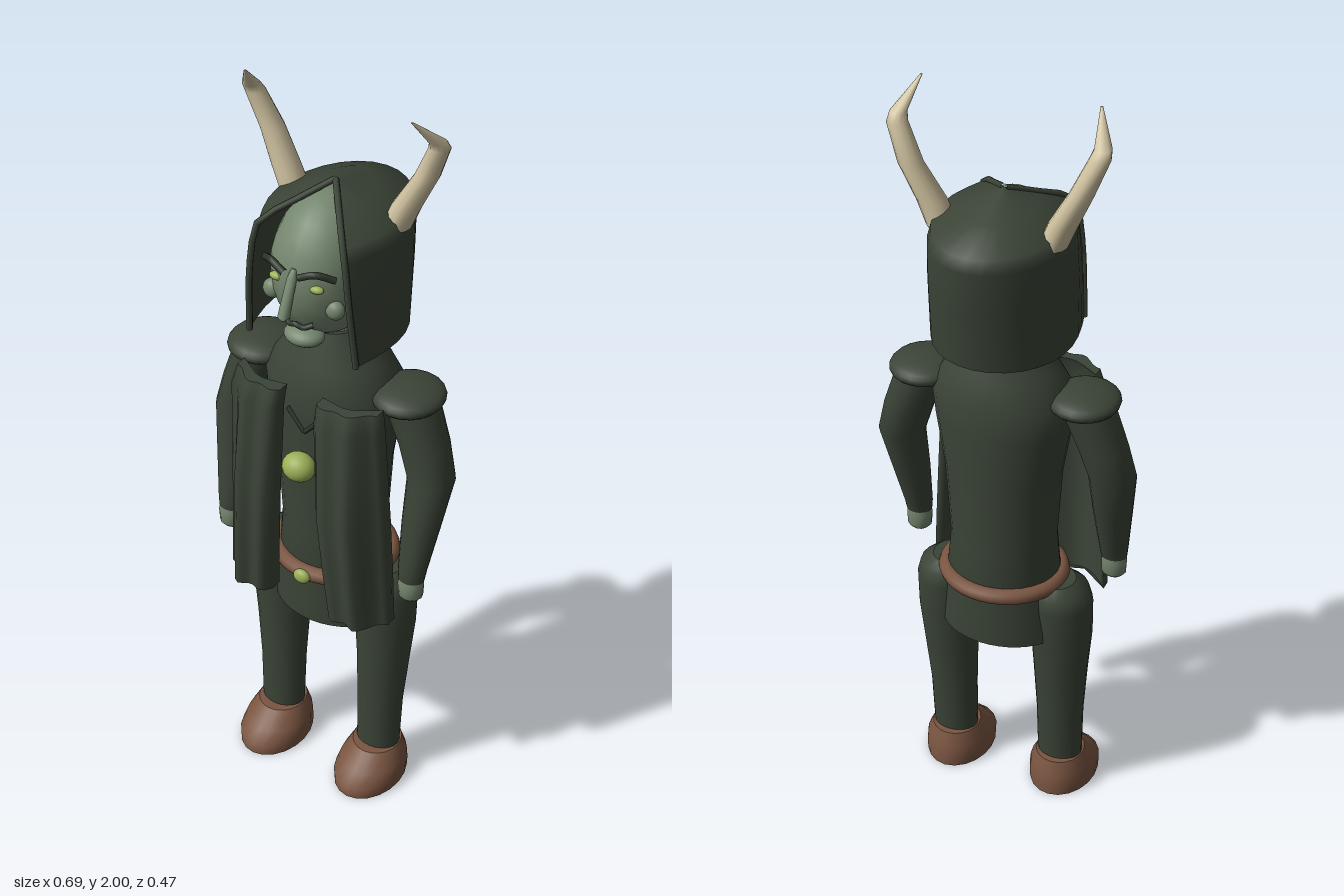
import * as THREE from 'three';

const mat = (name, color, side = THREE.FrontSide) => {
  const m = new THREE.MeshStandardMaterial({ color, side });
  m.name = name;
  return m;
};
const lerp = THREE.MathUtils.lerp;

// Elliptical cross-section at one height
function ring([y, cx, cz, rx, rz], n = 16, from = 0, to = Math.PI * 2) {
  const full = to - from > 6.28;
  return Array.from({ length: n }, (_, i) => {
    const a = from + ((to - from) * i) / (full ? n : n - 1);
    return [cx + Math.cos(a) * rx, y, cz + Math.sin(a) * rz];
  });
}

// Skin stacked cross-sections, listed from bottom to top; s = -1 mirrors in x
function loft(rows, { closed = true, caps = true, s = 1 } = {}) {
  const n = rows[0].length, pos = [], idx = [];
  rows = rows.map(r => {
    const m = r.map(([x, y, z]) => [x * s, y, z]);
    return s < 0 ? m.reverse() : m;
  });
  rows.forEach(r => r.forEach(p => pos.push(...p)));
  for (let j = 0; j < rows.length - 1; j++) {
    for (let i = 0; i < (closed ? n : n - 1); i++) {
      const a = j * n + i, b = j * n + ((i + 1) % n);
      idx.push(a, a + n, b, b, a + n, b + n);
    }
  }
  if (closed && caps) {
    [rows[0], rows[rows.length - 1]].forEach((r, k) => {
      const base = pos.length / 3;
      r.forEach(p => pos.push(...p));
      pos.push(...[0, 1, 2].map(c => r.reduce((t, p) => t + p[c], 0) / n));
      for (let i = 0; i < n; i++) {
        const a = base + i, b = base + ((i + 1) % n);
        k ? idx.push(a, base + n, b) : idx.push(a, b, base + n);
      }
    });
  }
  const g = new THREE.BufferGeometry();
  g.setAttribute('position', new THREE.Float32BufferAttribute(pos, 3));
  g.setIndex(idx);
  g.computeVertexNormals();
  return g;
}

export function createModel() {
  const model = new THREE.Group();
  model.name = 'hornedFigure';
  const cloth = mat('dark cloth', 0x3b4437);
  const clothOpen = mat('dark cloth sheet', 0x3b4437, THREE.DoubleSide);
  const skin = mat('grey green skin', 0x75866f);
  const leather = mat('brown leather', 0x7a5541);
  const horn = mat('pale horn', 0xcfc2a0);
  const glow = mat('moss green', 0x9bb057);
  const dark = mat('dark brow', 0x2b352a);

  const add = (name, geo, material) => {
    const m = new THREE.Mesh(geo, material);
    m.name = name;
    model.add(m);
    return m;
  };
  const blob = (name, material, p, r) => {
    const m = add(name, new THREE.SphereGeometry(1, 20, 14), material);
    m.position.set(...p);
    m.scale.set(...r);
    return m;
  };
  const tube = (name, material, pts, r) => add(name, new THREE.TubeGeometry(
    new THREE.CatmullRomCurve3(pts.map(p => new THREE.Vector3(...p))), 10, r, 8), material);
  const limb = (name, material, rows, s = 1, n = 16) =>
    add(name, loft(rows.map(r => ring(r, n)), { s }), material);

  // Body
  limb('torso', cloth, [
    [0.58, 0, 0, 0.12, 0.105], [0.67, 0, 0, 0.15, 0.13], [0.8, 0, 0, 0.137, 0.128],
    [1.0, 0, 0, 0.15, 0.135], [1.15, 0, 0, 0.175, 0.14], [1.23, 0, 0, 0.185, 0.138],
    [1.3, 0, 0, 0.14, 0.115], [1.39, 0, 0, 0.075, 0.08]], 1, 28);
  limb('neck', skin, [[1.36, 0, 0, 0.068, 0.07], [1.48, 0, 0, 0.068, 0.07]]);

  // Front and back skirt panels
  [['skirtFront', 0.58], ['skirtBack', 0.58 + Math.PI]].forEach(([name, a]) => {
    const rows = [[0.52, 0, 0, 0.165, 0.13], [0.68, 0, 0, 0.152, 0.133]];
    add(name, loft(rows.map(r => ring(r, 14, a, a + Math.PI - 1.16)), { closed: false }), clothOpen);
  });

  // Belt and buckle
  const belt = add('belt', new THREE.TorusGeometry(0.137, 0.021, 10, 36), leather);
  belt.rotation.x = Math.PI / 2;
  belt.scale.x = 1.08;
  belt.position.y = 0.685;
  blob('buckle', glow, [0, 0.685, 0.158], [0.024, 0.02, 0.014]);

  // Collar trim and brooch
  tube('collarLeft', dark, [[0, 1.13, 0.139], [0.05, 1.185, 0.136]], 0.006);
  tube('collarRight', dark, [[0, 1.13, 0.139], [-0.05, 1.185, 0.136]], 0.006);
  blob('brooch', glow, [0, 1.04, 0.165], [0.044, 0.038, 0.038]);

  // Head and face
  blob('head', skin, [0, 1.565, 0.025], [0.13, 0.185, 0.16]);
  blob('chin', skin, [0, 1.415, 0.135], [0.052, 0.025, 0.042]);
  limb('nose', skin, [[1.505, 0, 0.222, 0.008, 0.008], [1.512, 0, 0.22, 0.015, 0.015],
    [1.6, 0, 0.184, 0.012, 0.012], [1.62, 0, 0.174, 0.006, 0.006]], 1, 12);
  tube('mouth', dark, [[-0.04, 1.467, 0.156], [-0.018, 1.458, 0.168], [0, 1.464, 0.171],
    [0.018, 1.458, 0.168], [0.04, 1.467, 0.156]], 0.007);

  // Hood: open at the face, gathered to a peak
  const a0 = 2.32, hoodRow = (y, w, back, fx, fz) => {
    const half = [];
    for (let i = 0; i <= 10; i++) {
      const t = i / 10; // front edge to centre back
      const a = lerp(0, Math.PI / 2, Math.max(0, (t - 0.3) / 0.7));
      const k = Math.min(1, t / 0.3);
      half.push(t < 0.3
        ? [lerp(fx, w, Math.sin(k * Math.PI / 2)), y, lerp(fz, 0, k)]
        : [Math.cos(a) * w, y, -Math.sin(a) * back]);
    }
    // from centre-right front, round the back, to the left front
    const left = half.slice(0, -1).reverse();
    return [...half.map(([x, yy, z]) => [-x, yy, z]), ...left];
  };
  const hoodRows = [
    hoodRow(1.38, 0.175, 0.19, 0.15, 0.145), hoodRow(1.55, 0.175, 0.215, 0.138, 0.158),
    hoodRow(1.66, 0.17, 0.233, 0.125, 0.155), hoodRow(1.695, 0.16, 0.225, 0.115, 0.148),
    hoodRow(1.735, 0.08, 0.13, 0.058, 0.075), hoodRow(1.77, 0.001, 0.001, 0.001, 0.001)];
  add('hood', loft(hoodRows, { closed: false }), clothOpen);
  // Rolled hem along the face opening
  [0, hoodRows[0].length - 1].forEach(i =>
    tube(i ? 'hoodHemLeft' : 'hoodHemRight', cloth, hoodRows.map(r => r[i]), 0.008));

  for (const s of [1, -1]) {
    const side = s > 0 ? 'Left' : 'Right';

    // Eyes, brows and cheeks
    blob('eye' + side, glow, [0.055 * s, 1.576, 0.166], [0.019, 0.01, 0.012]);
    tube('brow' + side, dark, [[0.02 * s, 1.608, 0.188], [0.06 * s, 1.623, 0.178],
      [0.097 * s, 1.606, 0.15]], 0.009);
    blob('cheek' + side, skin, [0.087 * s, 1.515, 0.137], [0.025, 0.025, 0.02]);

    // Horn
    limb('horn' + side, horn, [
      [1.67, 0.14, -0.045, 0.036, 0.04], [1.73, 0.165, -0.045, 0.036, 0.037],
      [1.82, 0.212, -0.055, 0.03, 0.032], [1.91, 0.25, -0.042, 0.026, 0.025],
      [1.93, 0.252, -0.03, 0.021, 0.022], [2.0, 0.222, 0.035, 0.003, 0.003]], s, 12);

    // Shoulder pad, arm and hand
    blob('shoulderPad' + side, cloth, [0.21 * s, 1.24, 0], [0.09, 0.034, 0.096]);
    limb('arm' + side, cloth, [
      [0.745, 0.272, 0.073, 0.034, 0.03], [0.77, 0.272, 0.07, 0.037, 0.034],
      [0.9, 0.277, 0.04, 0.05, 0.047], [1.03, 0.284, 0.01, 0.06, 0.06],
      [1.12, 0.258, 0.003, 0.064, 0.064], [1.22, 0.22, 0, 0.068, 0.07]], s);
    limb('hand' + side, skin, [
      [0.685, 0.272, 0.075, 0.022, 0.02], [0.695, 0.272, 0.075, 0.032, 0.029],
      [0.73, 0.272, 0.075, 0.034, 0.031], [0.76, 0.272, 0.072, 0.028, 0.026]], s, 12);

    // Leg
    limb('leg' + side, cloth, [
      [0.08, 0.152, 0.025, 0.06, 0.047], [0.25, 0.153, 0.018, 0.063, 0.055],
      [0.4, 0.156, 0.01, 0.072, 0.066], [0.52, 0.158, 0.006, 0.081, 0.077],
      [0.62, 0.156, 0.003, 0.083, 0.085], [0.66, 0.15, 0, 0.078, 0.08],
      [0.685, 0.14, 0, 0.055, 0.055]], s, 20);

    // Boot
    limb('boot' + side, leather, [
      [0, 0.152, 0.06, 0.088, 0.12], [0.03, 0.152, 0.06, 0.09, 0.12],
      [0.06, 0.152, 0.045, 0.084, 0.1], [0.1, 0.152, 0.028, 0.064, 0.07]], s, 20);

    // Hanging cloak fold: rippled outside, plain inside
    const foldRow = (y, x0, x1, z0, z1, bulge) => {
      const front = [], back = [];
      for (let i = 0; i <= 12; i++) {
        const t = i / 12, x = lerp(x0, x1, t);
        const z = lerp(z0, z1, t) + bulge * Math.sin(Math.PI * t);
        front.unshift([x, y, z + 0.25 * bulge * Math.sin(4 * Math.PI * t)]);
        back.push([x, y, z - 0.03]);
      }
      return [...front, ...back];
    };
    add('cloakFold' + side, loft([
      foldRow(0.61, 0.085, 0.238, 0.165, 0.125, 0.045),
      foldRow(0.75, 0.075, 0.232, 0.175, 0.125, 0.05),
      foldRow(0.93, 0.062, 0.225, 0.185, 0.13, 0.05),
      foldRow(1.2, 0.052, 0.212, 0.178, 0.14, 0.03),
      foldRow(1.25, 0.052, 0.2, 0.165, 0.13, 0.025)], { s }), cloth);
  }
  return model;
}
